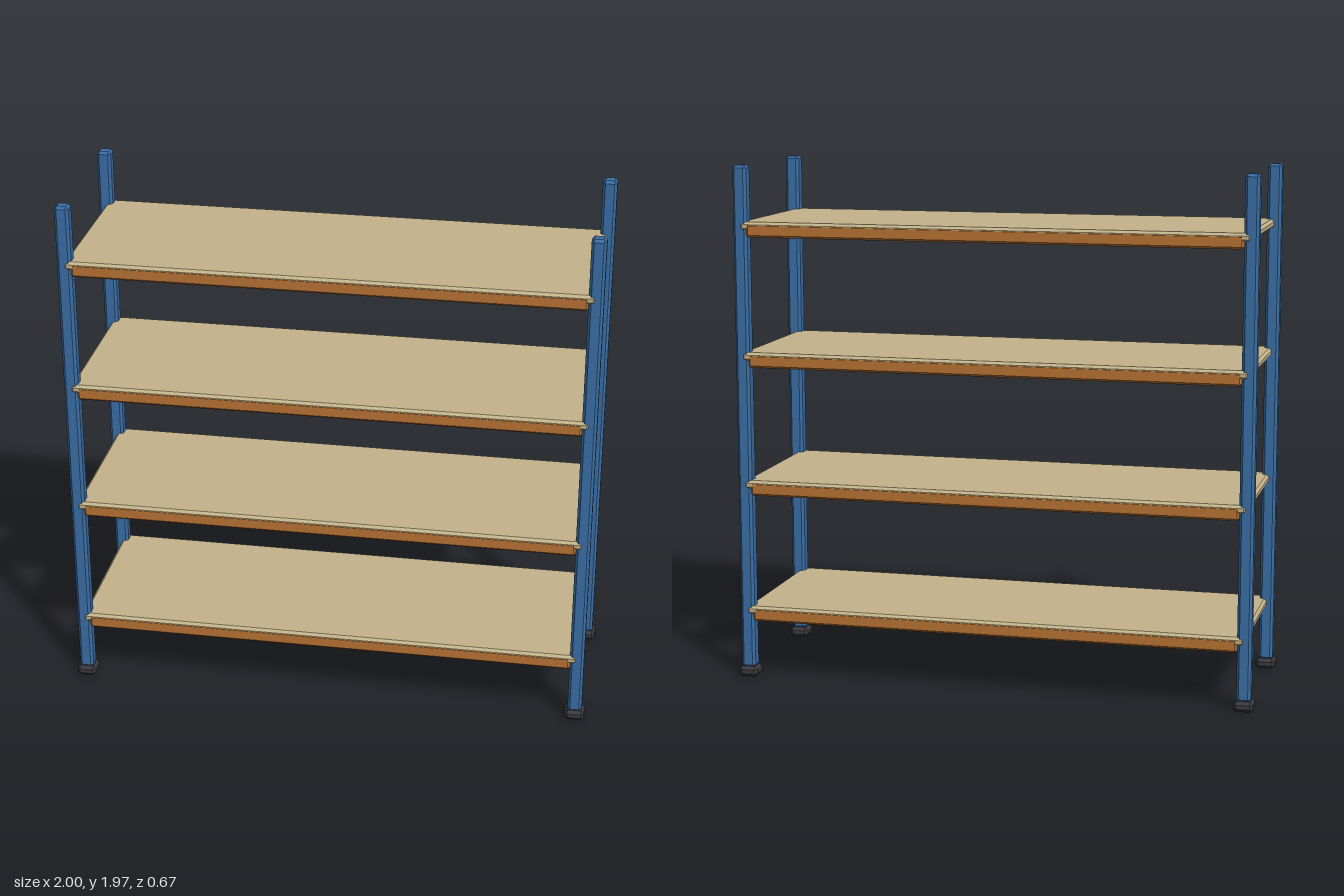
import * as THREE from 'three';
import { ConvexGeometry } from 'three/addons/geometries/ConvexGeometry.js';

const paint = (name, color) => {
  const m = new THREE.MeshStandardMaterial({ color });
  m.name = name;
  return m;
};

// Box with every edge and corner cut by a flat chamfer
function chamferBox(w, h, d, c) {
  const points = [];
  for (const x of [-1, 1]) for (const y of [-1, 1]) for (const z of [-1, 1]) {
    const p = new THREE.Vector3(x * w / 2, y * h / 2, z * d / 2);
    points.push(
      new THREE.Vector3(p.x, p.y - y * c, p.z - z * c),
      new THREE.Vector3(p.x - x * c, p.y, p.z - z * c),
      new THREE.Vector3(p.x - x * c, p.y - y * c, p.z));
  }
  return new ConvexGeometry(points);
}

export function createModel() {
  const model = new THREE.Group();
  model.name = 'shelvingUnit';

  const blue = paint('blue steel', 0x3a6ea5);
  const orange = paint('orange beam', 0xb87333);
  const board = paint('chipboard', 0xc4b48c);
  const rubber = paint('dark rubber', 0x3a3a40);

  const add = (name, geometry, material, x, y, z) => {
    const mesh = new THREE.Mesh(geometry, material);
    mesh.name = name;
    mesh.position.set(x, y, z);
    model.add(mesh);
  };

  // Four uprights, each on a foot
  const postGeo = chamferBox(0.054, 1.935, 0.054, 0.01);
  const footGeo = chamferBox(0.075, 0.04, 0.075, 0.012);
  for (const sx of [-1, 1]) for (const sz of [-1, 1]) {
    const side = (sz > 0 ? 'front' : 'back') + (sx > 0 ? 'Left' : 'Right');
    add(side + 'Post', postGeo, blue, sx * 0.9625, 1.0025, sz * 0.297);
    add(side + 'Foot', footGeo, rubber, sx * 0.9625, 0.02, sz * 0.297);
  }

  // Four boards, each carried by a front and a back beam
  const boardGeo = chamferBox(1.926, 0.034, 0.656, 0.01);
  const beamGeo = chamferBox(1.874, 0.052, 0.042, 0.008);
  for (let i = 0; i < 4; i++) {
    const top = 0.281 + i * 0.493;
    add('shelfBoard' + (i + 1), boardGeo, board, 0, top - 0.017, 0);
    add('frontBeam' + (i + 1), beamGeo, orange, 0, top - 0.032, 0.308);
    add('backBeam' + (i + 1), beamGeo, orange, 0, top - 0.032, -0.308);
  }
  return model;
}
